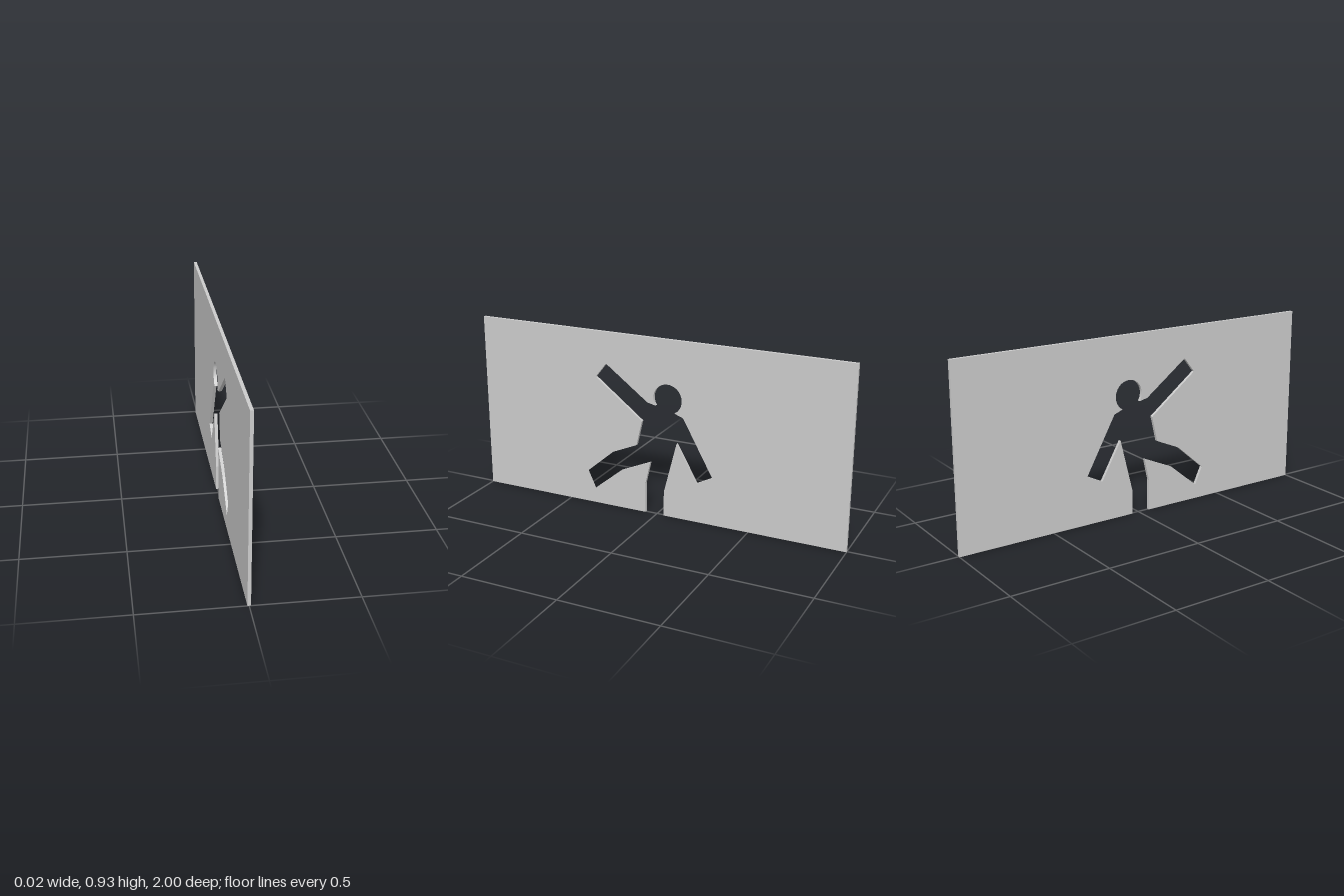
import * as THREE from 'three';

const LENGTH = 2, HEIGHT = 0.93, THICKNESS = 0.016;

// Cutout outline from the planted foot, round the raised leg and arm, to the neck
const footToNeck = [
  [-0.062, 0], [-0.062, 0.16], [-0.035, 0.278], [-0.203, 0.204], [-0.36, 0.075],
  [-0.402, 0.166], [-0.247, 0.3], [-0.112, 0.359], [-0.081, 0.492],
  [-0.34, 0.69], [-0.28, 0.766], [-0.05, 0.595], [-0.005, 0.585],
];
// From the neck down the lowered arm and back to the planted foot
const neckToFoot = [
  [0.097, 0.559], [0.145, 0.541], [0.305, 0.252], [0.219, 0.208],
  [0.11, 0.401], [0.041, 0.13], [0.041, 0],
];

export function createModel() {
  const group = new THREE.Group();
  const shape = new THREE.Shape();
  shape.moveTo(-LENGTH / 2, 0);
  for (const [x, y] of footToNeck) shape.lineTo(x, y);
  // Round head
  shape.absarc(0.06, 0.626, 0.0765, Math.PI + 0.563, -1.06, true);
  for (const [x, y] of neckToFoot) shape.lineTo(x, y);
  shape.lineTo(LENGTH / 2, 0);
  shape.lineTo(LENGTH / 2, HEIGHT);
  shape.lineTo(-LENGTH / 2, HEIGHT);
  shape.closePath();

  // Thin upright panel, turned to lie along z
  const geometry = new THREE.ExtrudeGeometry(shape, {
    depth: THICKNESS, bevelEnabled: false, curveSegments: 32,
  });
  geometry.translate(0, 0, -THICKNESS / 2);
  geometry.rotateY(Math.PI / 2);
  const panel = new THREE.Mesh(geometry, new THREE.MeshStandardMaterial({ color: 0xcccccc }));
  panel.name = 'wallWithFigureCutout';
  group.add(panel);
  return group;
}
